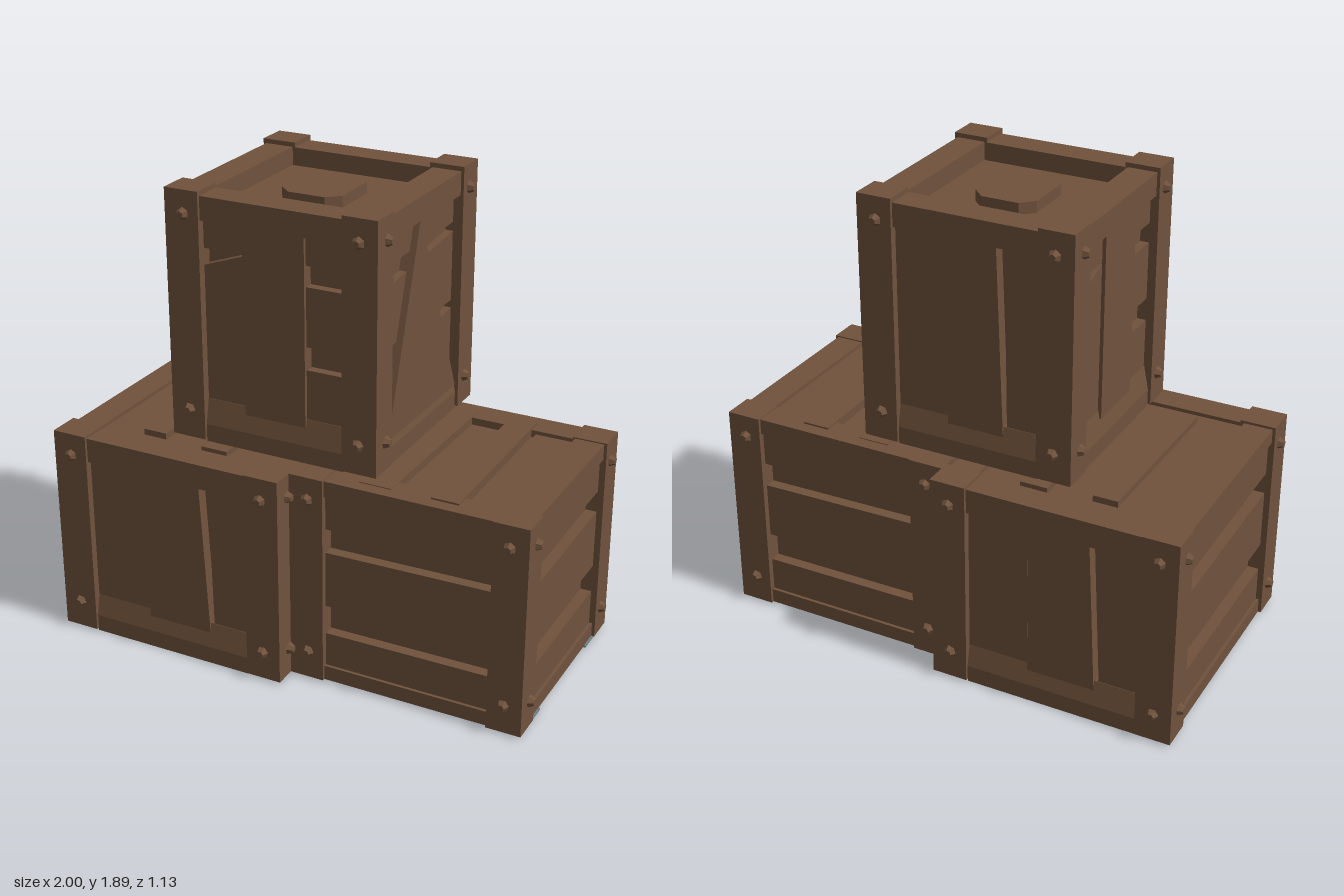
import * as THREE from 'three';

const wood = new THREE.MeshStandardMaterial({ color: 0x70523c, flatShading: true });
wood.name = 'brown wood';
const steel = new THREE.MeshStandardMaterial({ color: 0x6f8288, flatShading: true });
steel.name = 'grey steel';

function add(parent, geometry, name, material = wood) {
  const mesh = new THREE.Mesh(geometry, material);
  mesh.name = name;
  parent.add(mesh);
  return mesh;
}

// box given by its limits on each axis
function box(parent, name, x0, x1, y0, y1, z0, z1, material) {
  const g = new THREE.BoxGeometry(x1 - x0, y1 - y0, z1 - z0);
  g.translate((x0 + x1) / 2, (y0 + y1) / 2, (z0 + z1) / 2);
  return add(parent, g, name, material);
}

// flat board with any outline, from depth z0 out to z1
function board(parent, name, points, z0, z1) {
  const shape = new THREE.Shape(points.map(([x, y]) => new THREE.Vector2(x, y)));
  const g = new THREE.ExtrudeGeometry(shape, { depth: z1 - z0, bevelEnabled: false });
  g.translate(0, 0, z0);
  return add(parent, g, name);
}

// sill whose upper face slopes in towards the planks
function slopedSill(parent, half, y0) {
  const shape = new THREE.Shape([[-0.09, -0.01], [-0.012, -0.01], [-0.012, 0.06], [-0.032, 0.16], [-0.09, 0.16]]
    .map(([z, y]) => new THREE.Vector2(z, y0 + y)));
  const g = new THREE.ExtrudeGeometry(shape, { depth: half * 2, bevelEnabled: false });
  g.rotateY(-Math.PI / 2);
  g.translate(half, 0, 0);
  add(parent, g, 'slopedSill');
}

function bolt(parent, x, y, turn) {
  const g = new THREE.CylinderGeometry(0.014, 0.027, 0.026, 6);
  g.rotateX(Math.PI / 2);
  g.rotateZ(turn);
  g.translate(x, y, 0.009);
  add(parent, g, 'bolt');
}

// plank layouts; h is half the opening, y0 and y1 are the limits of the crate
const layouts = {
  vertical(side, h, y0, y1) {
    slopedSill(side, h, y0);
    const b = y0 + 0.1, t = y1 - 0.08;
    board(side, 'plank', [[-h, b], [-0.3 * h, b], [-0.3 * h, t], [-h, t]], -0.08, -0.03);
    board(side, 'plank', [[-0.29 * h, b], [0.5 * h, b], [0.4 * h, t], [-0.29 * h, t]], -0.08, -0.024);
    board(side, 'plank', [[0.54 * h, b], [h, b], [h, t], [0.5 * h, t]], -0.08, -0.034);
  },
  horizontal(side, h, y0, y1) {
    for (const [b, t, skew] of [[0.05, 0.2, 0.005], [0.32, 0.55, 0.012], [0.65, 0.8, 0.015]])
      board(side, 'plank', [[-h, y0 + b], [h, y0 + b], [h, y0 + t + skew], [-h, y0 + t]], -0.08, -0.025);
    box(side, 'bottomRail', -h, h, y0, y0 + 0.06, -0.09, -0.012);
  },
  mixed(side, h, y0, y1) {
    slopedSill(side, h, y0);
    const t = y1 - 0.11, m = -0.42 * h, n = 0.45 * h;
    board(side, 'middlePlank', [[m, y0 + 0.13], [n, y0 + 0.13], [n, t], [m, t]], -0.08, -0.02);
    board(side, 'shortPlank', [[-h, y0 + 0.1], [m, y0 + 0.1], [m, y0 + 0.75], [-h, y0 + 0.69]], -0.08, -0.034);
    for (const [b, e] of [[0.1, 0.355], [0.445, 0.675], [0.755, 0.87]])
      board(side, 'shortPlank', [[n, y0 + b], [h, y0 + b], [h, y0 + e], [n, y0 + e]], -0.08, -0.034);
    board(side, 'shortPlank', [[-h, y0 + 0.755], [m, y0 + 0.755], [m, t], [-h, t]], -0.08, -0.034);
  },
  braced(side, h, y0, y1) {
    slopedSill(side, h, y0);
    for (const [b, e, skew] of [[0.1, 0.34, 0.07], [0.44, 0.67, 0.05], [0.755, 0.87, 0]])
      board(side, 'plank', [[-h, y0 + b], [h, y0 + b], [h, y0 + e + skew], [-h, y0 + e]], -0.08, -0.04);
    board(side, 'triangleBrace', [[-h, y0 + 0.09], [h, y0 + 0.09], [-0.16 * h, y1 - 0.1]], -0.08, -0.014);
  },
};

// c: limits, post sizes and a layout for each of the four sides
function crate(name, c) {
  const group = new THREE.Group();
  group.name = name;
  group.position.set((c.x0 + c.x1) / 2, 0, 0);
  const hx = (c.x1 - c.x0) / 2, hz = c.z, { y0, y1, px, pz } = c;
  box(group, 'innerBox', -hx + 0.07, hx - 0.07, y0 + 0.04, c.deck, -hz + 0.07, hz - 0.07);
  for (const sx of [-1, 1]) for (const sz of [-1, 1]) {
    const cx = sx * (hx - px / 2), cz = sz * (hz - pz / 2);
    box(group, 'cornerPost', cx - px / 2, cx + px / 2, y0, y1, cz - pz / 2, cz + pz / 2);
  }
  c.sides.forEach((layout, i) => {
    const side = new THREE.Group();
    side.name = ['frontSide', 'leftSide', 'backSide', 'rightSide'][i];
    side.rotation.y = i * Math.PI / 2;
    const along = i % 2 === 0;
    const w = along ? hx : hz, d = along ? hz : hx, p = along ? px : pz;
    side.position.set([0, d, 0, -d][i], 0, [d, 0, -d, 0][i]);
    layouts[layout](side, w - p, y0, y1);
    box(side, 'topRail', -w + p, w - p, y1 - 0.11 + (layout === 'horizontal' ? 0.04 : 0), y1 - c.drop, -0.13, -0.012);
    box(side, 'underRail', -w + p, w - p, y0, y0 + 0.05, -0.12, -0.03);
    for (const s of [-1, 1]) {
      bolt(side, s * (w - 0.075), y1 - 0.09, i + s);
      bolt(side, s * (w - 0.075), y0 + 0.115, i - s * 0.4);
    }
    group.add(side);
  });
  // slats under the floor
  for (let i = 0; i < 4; i++) {
    const x = -hx + 0.15 + (i + 0.5) * (2 * hx - 0.3) / 4;
    box(group, 'floorSlat', x - 0.055, x + 0.055, y0 + 0.002, y0 + 0.05, -hz + 0.12, hz - 0.12);
  }
  return group;
}

// skewed slat lying across a lid
function lidSlat(parent, x0, x1, skew, half, y0, y1) {
  const slat = board(parent, 'lidSlat', [[x0, -half], [x1, -half], [x1 + skew, half], [x0 + skew, half]], y0, y1);
  slat.rotation.x = -Math.PI / 2;
}

export function createModel() {
  const model = new THREE.Group();
  model.name = 'crateStack';

  const big = crate('bigCrate', {
    x0: -0.985, x1: 0.01, y0: 0.01, y1: 0.87, z: 0.545, px: 0.145, pz: 0.13, deck: 0.845, drop: 0.01,
    sides: ['vertical', 'horizontal', 'vertical', 'horizontal'],
  });
  const low = crate('lowCrate', {
    x0: 0.01, x1: 0.97, y0: 0.01, y1: 0.87, z: 0.455, px: 0.14, pz: 0.125, deck: 0.835, drop: 0.005,
    sides: ['horizontal', 'horizontal', 'horizontal', 'horizontal'],
  });
  const top = crate('topCrate', {
    x0: -0.505, x1: 0.355, y0: 0.915, y1: 1.89, z: 0.425, px: 0.14, pz: 0.127, deck: 1.8, drop: 0.018,
    sides: ['mixed', 'braced', 'vertical', 'mixed'],
  });
  model.add(big, low, top);

  // lid slats of the two lower crates
  const lids = new THREE.Group();
  lids.name = 'lidSlats';
  lidSlat(lids, -0.68, -0.58, 0.01, 0.37, 0.83, 0.87);
  lidSlat(lids, -0.4, -0.29, 0, 0.4, 0.83, 0.868);
  lidSlat(lids, 0.27, 0.4, 0.01, 0.39, 0.82, 0.868);
  lidSlat(lids, 0.56, 0.67, -0.01, 0.39, 0.82, 0.872);
  lidSlat(lids, 0.68, 0.86, 0, 0.33, 0.82, 0.85);
  model.add(lids);

  // raised eight-sided boss on the upper lid
  const boss = board(model, 'lidBoss', [[-0.2, -0.1], [-0.15, -0.145], [0, -0.145], [0.05, -0.1],
    [0.05, 0.1], [0, 0.15], [-0.15, 0.15], [-0.2, 0.1]], 1.79, 1.845);
  boss.rotation.x = -Math.PI / 2;

  // steel plates under the outer end
  for (const s of [-1, 1])
    box(model, 'footPlate', 0.915, 0.965, 0.004, 0.012, s * 0.345 - 0.1, s * 0.345 + 0.1, steel);

  return model;
}
